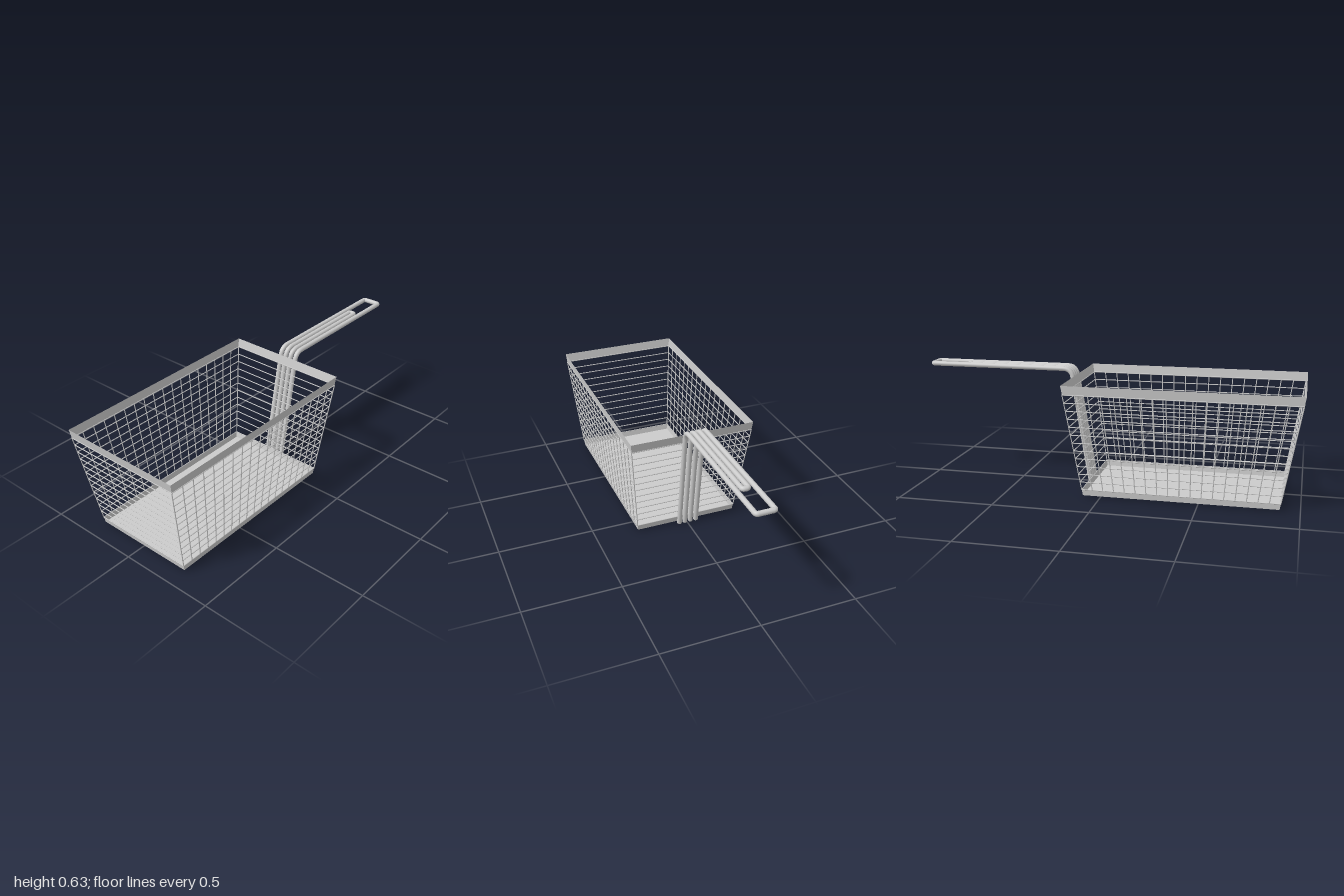
import * as THREE from 'three';

const material = new THREE.MeshStandardMaterial({ color: 0xcccccc });
const sheet = new THREE.MeshStandardMaterial({ color: 0xcccccc, side: THREE.DoubleSide });
const V = (x, y, z) => new THREE.Vector3(x, y, z);

const BASE = 0.008, TOP = 0.585, MESH_LOW = 0.039, MESH_HIGH = 0.538;

// Corners of the tapered basket at height y, running round the outline
function corners(y) {
  const t = (y - BASE) / (TOP - BASE), mix = THREE.MathUtils.lerp;
  const x = mix(0.274, 0.33, t), front = mix(0.9, 1.0, t), back = mix(-0.09, -0.187, t);
  return [V(x, y, front), V(x, y, back), V(-x, y, back), V(-x, y, front)];
}

function add(parent, name, geometry, mat = material) {
  const mesh = new THREE.Mesh(geometry, mat);
  mesh.name = name;
  parent.add(mesh);
  return mesh;
}

// Four-sided sloping strip between two heights
function band(y0, y1) {
  const low = corners(y0), high = corners(y1), pts = [];
  for (let i = 0; i < 4; i++) {
    const j = (i + 1) % 4;
    pts.push(low[i], low[j], high[j], low[i], high[j], high[i]);
  }
  const g = new THREE.BufferGeometry().setFromPoints(pts);
  g.computeVertexNormals();
  return g;
}

// Straight thin wire between two points
function wire(parent, name, a, b, r = 0.0026) {
  const mesh = add(parent, name, new THREE.CylinderGeometry(r, r, a.distanceTo(b), 6));
  mesh.position.copy(a).add(b).multiplyScalar(0.5);
  mesh.quaternion.setFromUnitVectors(V(0, 1, 0), b.clone().sub(a).normalize());
}

// Curve visiting every point of a list at even steps
class PointPath extends THREE.Curve {
  constructor(points) { super(); this.points = points; }
  getUtoTmapping(u) { return u; }
  getPoint(t, target = V(0, 0, 0)) {
    const f = t * (this.points.length - 1), i = Math.min(Math.floor(f), this.points.length - 2);
    return target.lerpVectors(this.points[i], this.points[i + 1], f - i);
  }
}

// Polyline with each inner corner rounded off by its own radius
function rounded(points, radii) {
  const out = [points[0]];
  for (let i = 1; i < points.length - 1; i++) {
    const p = points[i], r = radii[i - 1];
    const toward = q => p.clone().add(q.clone().sub(p).setLength(r));
    out.push(...new THREE.QuadraticBezierCurve3(toward(points[i - 1]), p, toward(points[i + 1])).getPoints(6));
  }
  out.push(points[points.length - 1]);
  return out;
}

// One bent rod: up the back wall, out along the grip, across and back again
function handleRod(parent, name, half, endZ) {
  const R = 0.0128, y = 0.619, foot = -0.005, grip = 0.004;
  const side = s => [V(foot + s * half, 0.003, -0.102), V(grip + s * half, y, -0.209), V(grip + s * half, y, endZ)];
  const points = rounded([...side(-1), ...side(1).reverse()], [0.045, 0.013, 0.013, 0.045]);
  const rod = new THREE.Group();
  rod.name = name;
  add(rod, name + 'Tube', new THREE.TubeGeometry(new PointPath(points), points.length - 1, R, 14));
  const n = points.length;
  for (const [end, next] of [[points[0], points[1]], [points[n - 1], points[n - 2]]]) {
    const cap = add(rod, name + 'Cap', new THREE.CircleGeometry(R, 14));
    cap.position.copy(end);
    cap.quaternion.setFromUnitVectors(V(0, 0, 1), end.clone().sub(next).normalize());
  }
  parent.add(rod);
}

export function createModel() {
  const model = new THREE.Group();
  model.name = 'fryingBasket';

  // Solid floor and the two sheet bands
  const floor = add(model, 'floor', new THREE.PlaneGeometry(0.548, 0.99), sheet);
  floor.rotation.x = -Math.PI / 2;
  floor.position.set(0, BASE, 0.405);
  add(model, 'lowerBand', band(BASE, MESH_LOW + 0.001), sheet);
  add(model, 'upperRim', band(MESH_HIGH, TOP), sheet);

  // Level wires round all four walls
  const levelWires = new THREE.Group();
  levelWires.name = 'levelWires';
  for (let i = 0; i <= 12; i++) {
    const c = corners(THREE.MathUtils.lerp(MESH_LOW, MESH_HIGH, i / 12));
    c.forEach((p, k) => wire(levelWires, 'levelWire', p, c[(k + 1) % 4]));
  }
  model.add(levelWires);

  // Upright wires fanning out along the two long walls
  const uprightWires = new THREE.Group();
  uprightWires.name = 'uprightWires';
  const low = corners(MESH_LOW), high = corners(MESH_HIGH);
  for (const [front, back] of [[0, 1], [3, 2]]) {
    for (let i = 0; i <= 18; i++) {
      const at = c => c[front].clone().lerp(c[back], i / 18);
      wire(uprightWires, 'uprightWire', at(low), at(high));
    }
  }
  model.add(uprightWires);

  // Handle of two nested bent rods
  const handle = new THREE.Group();
  handle.name = 'handle';
  handleRod(handle, 'outerRod', 0.047, -0.987);
  handleRod(handle, 'innerRod', 0.0157, -0.79);
  model.add(handle);

  return model;
}
